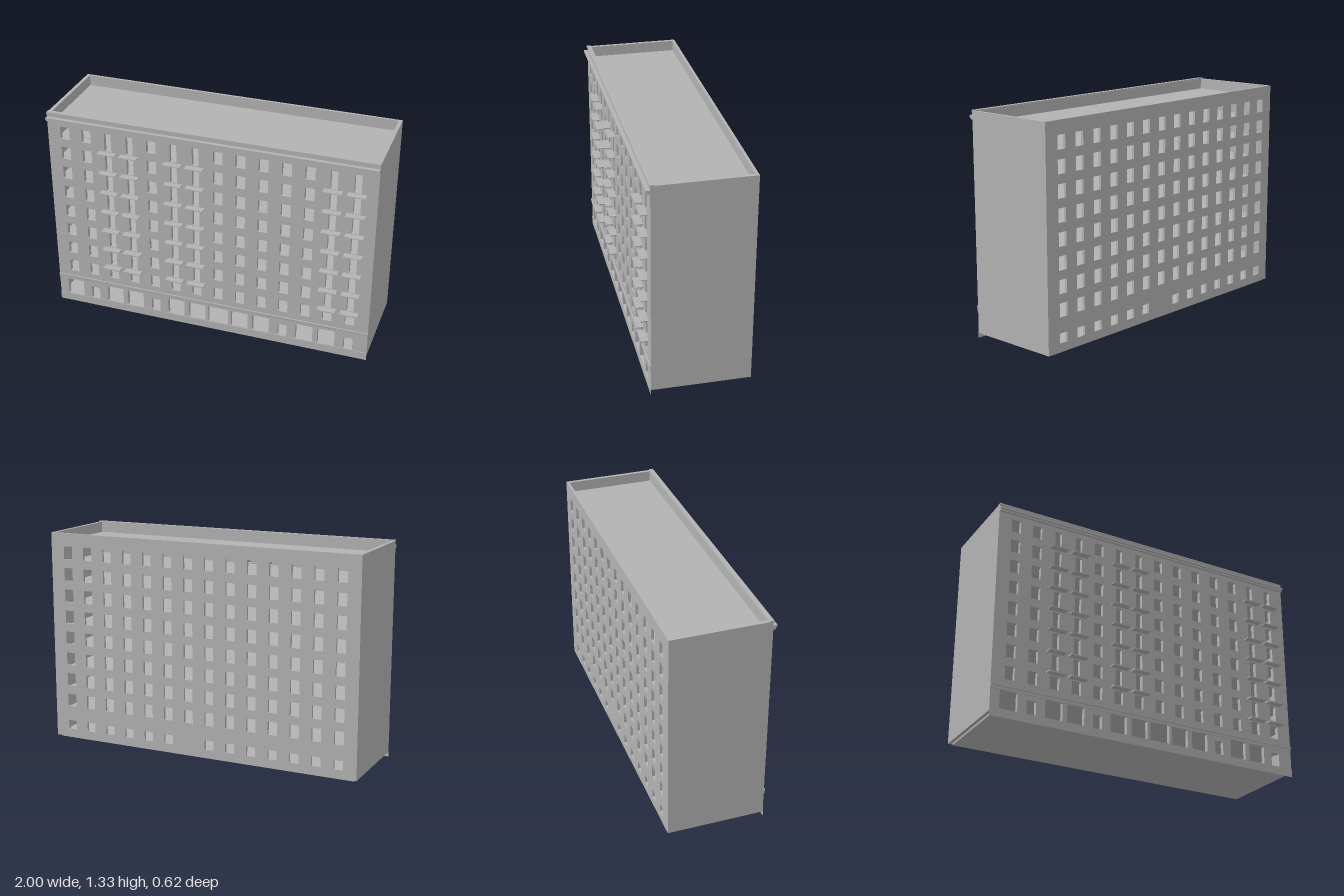
import * as THREE from 'three';

const COLS = 14, FLOORS = 8, STEP = 0.133;
const BASE = 0.03, TOP = 1.32, FRONT = 0.27, BACK = -0.31;
const FRONT_T = 0.025, BACK_T = 0.016, SIDE_T = 0.022;
const columnX = (i) => -0.89 + i * 0.1364;
const slabTop = (k) => 0.191 + k * STEP;
const BALCONY_COLS = [2, 3, 5, 6, 12, 13];
const SMALL_SHOP_COLS = [1, 4, 10, 13];
const ENTRANCE_COL = 7;

export function createModel() {
  const group = new THREE.Group();
  const concrete = new THREE.MeshStandardMaterial({ color: 0xb2b2b2 });
  concrete.name = 'concrete grey';

  const add = (name, geometry, parent = group) => {
    const mesh = new THREE.Mesh(geometry, concrete);
    mesh.name = name;
    parent.add(mesh);
    return mesh;
  };

  // Box given by its min and max corners
  const box = (name, x0, x1, y0, y1, z0, z1, parent) =>
    add(name, new THREE.BoxGeometry(x1 - x0, y1 - y0, z1 - z0)
      .translate((x0 + x1) / 2, (y0 + y1) / 2, (z0 + z1) / 2), parent);

  // Rectangular opening: centre x, width, bottom, top
  const rect = (PathType, cx, w, y0, y1) => {
    const p = new PathType();
    p.moveTo(cx - w / 2, y0);
    p.lineTo(cx + w / 2, y0);
    p.lineTo(cx + w / 2, y1);
    p.lineTo(cx - w / 2, y1);
    p.closePath();
    return p;
  };

  const wall = (name, openings, z, depth) => {
    const shape = rect(THREE.Shape, 0, 2, BASE, TOP);
    shape.holes = openings.map((o) => rect(THREE.Path, ...o));
    add(name, new THREE.ExtrudeGeometry(shape, { depth, bevelEnabled: false }).translate(0, 0, z));
  };

  // Moulding: (z, y) profile swept along the whole front
  const moulding = (name, points) => {
    const shape = new THREE.Shape(points.map(([z, y]) => new THREE.Vector2(z, y)));
    add(name, new THREE.ExtrudeGeometry(shape, { depth: 2, bevelEnabled: false })
      .rotateY(-Math.PI / 2).translate(1, 0, 0));
  };

  // Openings of both long walls, plus balconies under the narrow doors
  const front = [], back = [];
  const balconies = new THREE.Group();
  balconies.name = 'balconies';
  group.add(balconies);
  for (let i = 0; i < COLS; i++) {
    const x = columnX(i);
    for (let k = 0; k < FLOORS; k++) {
      const sill = slabTop(k) + 0.038, head = sill + 0.08;
      back.push([x, 0.058, sill, head]);
      if (k > 0 && BALCONY_COLS.includes(i)) {
        front.push([x, 0.042, slabTop(k) + 0.003, head]);
        const t = k < 3 ? 0.008 : 0.005;
        box('balcony', x - 0.055, x + 0.055, slabTop(k) - t, slabTop(k), FRONT, 0.313, balconies);
      } else {
        front.push([x, 0.058, sill, head]);
      }
    }
    // Ground floor
    if (i === ENTRANCE_COL) {
      front.push([x, 0.128, 0.052, 0.17]);
    } else {
      const small = SMALL_SHOP_COLS.includes(i);
      front.push([x, small ? 0.056 : 0.106, 0.052, small ? 0.133 : 0.16]);
      back.push([x, 0.058, 0.08, 0.137]);
    }
  }
  wall('frontWall', front, FRONT - FRONT_T, FRONT_T);
  wall('backWall', back, BACK, BACK_T);

  // End walls, rising past the roof as parapets
  const zIn0 = BACK + BACK_T, zIn1 = FRONT - FRONT_T;
  for (const [name, s] of [['leftWall', 1], ['rightWall', -1]]) {
    const a = s, b = s * (1 - SIDE_T);
    box(name, Math.min(a, b), Math.max(a, b), BASE, TOP, zIn0, zIn1);
  }

  // Floors and roof
  const xIn = 1 - SIDE_T;
  box('groundFloor', -xIn, xIn, BASE, 0.05, zIn0, zIn1);
  for (let k = 0; k <= FLOORS; k++) {
    box(k === FLOORS ? 'roof' : 'floorSlab', -xIn, xIn, slabTop(k) - 0.012, slabTop(k), zIn0, zIn1);
  }
  box('foundation', -0.98, 0.98, 0.018, BASE, -0.29, 0.25);

  // Front trim
  box('plinth', -1, 1, 0, 0.05, FRONT, 0.273);
  moulding('stringCourse', [[FRONT, 0.162], [0.274, 0.162], [0.274, 0.178], [0.278, 0.182], [0.278, 0.193], [FRONT, 0.193]]);
  moulding('cornice', [[FRONT, 1.27], [0.284, 1.27], [0.284, 1.28], [0.293, 1.283], [0.293, 1.295], [FRONT, 1.295]]);
  box('parapetCap', -1, 1, TOP - 0.005, 1.325, 0.247, 0.274);

  return group;
}
